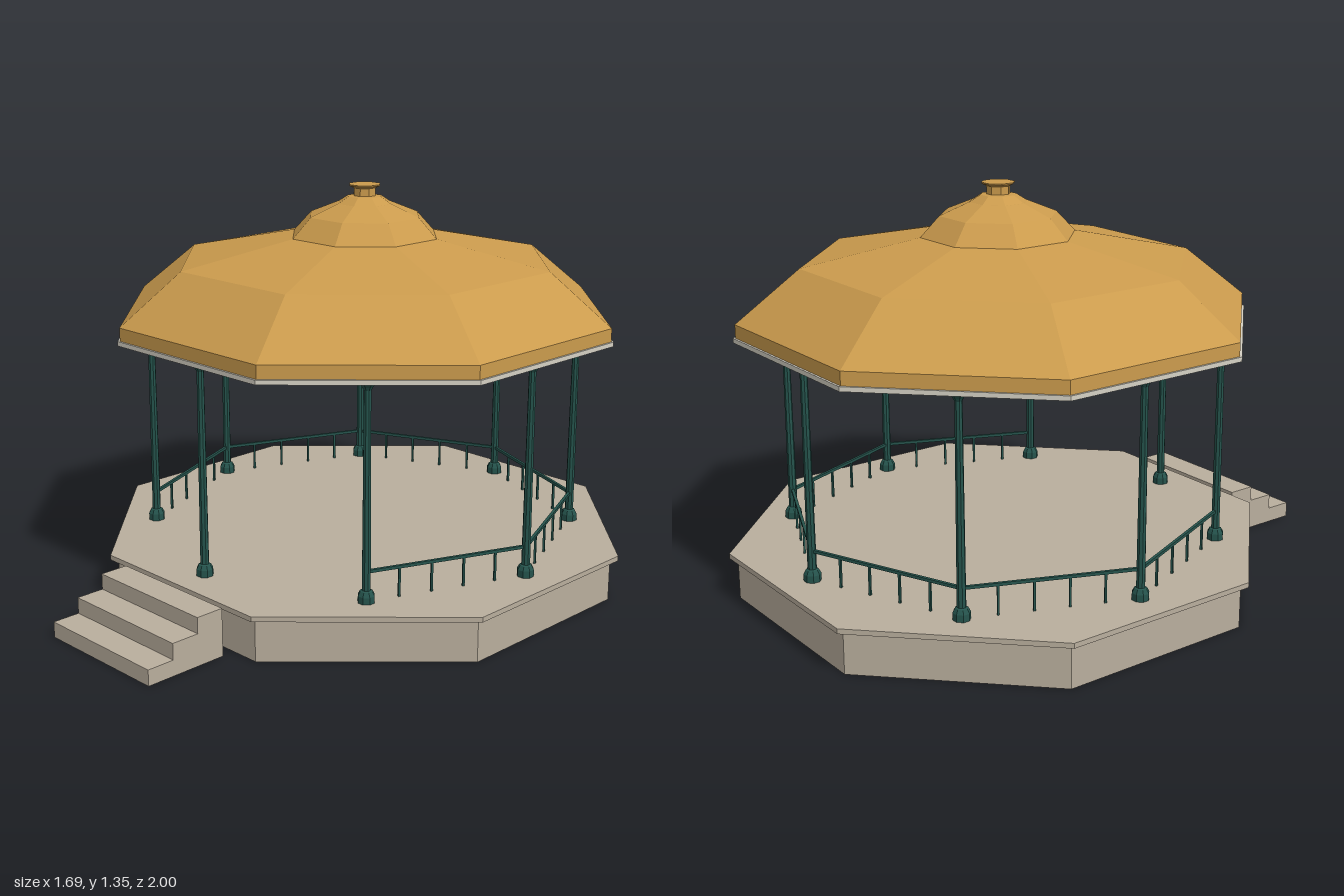
import * as THREE from 'three';

const stone = new THREE.MeshStandardMaterial({ color: 0xb9ae9d });
const roofGold = new THREE.MeshStandardMaterial({ color: 0xcb9b4d });
const trimCream = new THREE.MeshStandardMaterial({ color: 0xd5d1c4 });
const ironGreen = new THREE.MeshStandardMaterial({ color: 0x25534c });
stone.name = 'stone';
roofGold.name = 'roof gold';
trimCream.name = 'trim cream';
ironGreen.name = 'iron green';

// Faceted octagonal solid; profile is [distance to flat side, y] from bottom to top
function octagon(name, material, profile) {
  const points = profile.map(([a, y]) => new THREE.Vector2(a / Math.cos(Math.PI / 8), y));
  const geometry = new THREE.LatheGeometry(points, 8, Math.PI / 8).toNonIndexed();
  geometry.computeVertexNormals();
  const mesh = new THREE.Mesh(geometry, material);
  mesh.name = name;
  return mesh;
}

function box(name, material, w, h, d, x, y, z) {
  const mesh = new THREE.Mesh(new THREE.BoxGeometry(w, h, d), material);
  mesh.name = name;
  mesh.position.set(x, y, z);
  return mesh;
}

export function createModel() {
  const model = new THREE.Group();
  model.name = 'bandstand';
  const pavilion = new THREE.Group();
  pavilion.name = 'pavilion';
  pavilion.position.z = -0.155;
  model.add(pavilion);

  // Platform and overhanging deck
  pavilion.add(octagon('platform', stone, [[0, 0], [0.82, 0], [0.82, 0.143], [0, 0.143]]));
  pavilion.add(octagon('deck', stone, [[0, 0.143], [0.845, 0.143], [0.845, 0.16], [0, 0.16]]));

  // Roof with eave trim, low dome and finial
  pavilion.add(octagon('eaveTrim', trimCream, [[0, 0.873], [0.797, 0.873], [0.797, 0.888], [0, 0.888]]));
  pavilion.add(octagon('roof', roofGold, [
    [0.79, 0.888], [0.79, 0.932], [0.597, 1.1], [0.238, 1.18],
    [0.18, 1.247], [0.09, 1.287], [0, 1.293],
  ]));
  pavilion.add(octagon('finial', roofGold, [
    [0.088, 1.287], [0.055, 1.31], [0.036, 1.312], [0.036, 1.338],
    [0.051, 1.346], [0.051, 1.35], [0, 1.35],
  ]));

  // Eight columns, standing at the middle of each side
  const ring = 0.73;
  const spot = (i) => new THREE.Vector3(Math.sin(i * Math.PI / 4) * ring, 0, Math.cos(i * Math.PI / 4) * ring);
  for (let i = 0; i < 8; i++) {
    const column = octagon('column', ironGreen, [
      [0.026, 0.16], [0.026, 0.183], [0.019, 0.197], [0.0135, 0.2],
      [0.011, 0.84], [0.016, 0.85], [0.025, 0.862], [0.025, 0.873],
    ]);
    column.position.copy(spot(i));
    pavilion.add(column);
  }

  // Railings between columns, leaving the two front bays open
  for (let i = 1; i < 7; i++) {
    const a = spot(i), b = spot(i + 1);
    const length = a.distanceTo(b);
    const railing = new THREE.Group();
    railing.name = 'railing';
    railing.position.copy(a).lerp(b, 0.5);
    railing.rotation.y = Math.atan2(a.z - b.z, b.x - a.x);
    railing.add(box('handrail', ironGreen, length, 0.01, 0.01, 0, 0.26, 0));
    for (let k = 1; k < 5; k++) {
      railing.add(box('baluster', ironGreen, 0.007, 0.1, 0.007, (k / 5 - 0.5) * length, 0.21, 0));
    }
    pavilion.add(railing);
  }

  // Front steps as one stepped solid
  const side = new THREE.Shape();
  side.moveTo(0.71, 0);
  for (const [z, y] of [[1, 0], [1, 0.053], [0.905, 0.053], [0.905, 0.107], [0.808, 0.107], [0.808, 0.16], [0.71, 0.16]]) {
    side.lineTo(z, y);
  }
  const steps = new THREE.Mesh(new THREE.ExtrudeGeometry(side, { depth: 0.48, bevelEnabled: false }), stone);
  steps.name = 'steps';
  steps.rotation.y = -Math.PI / 2;
  steps.position.x = 0.24;
  model.add(steps);

  return model;
}
